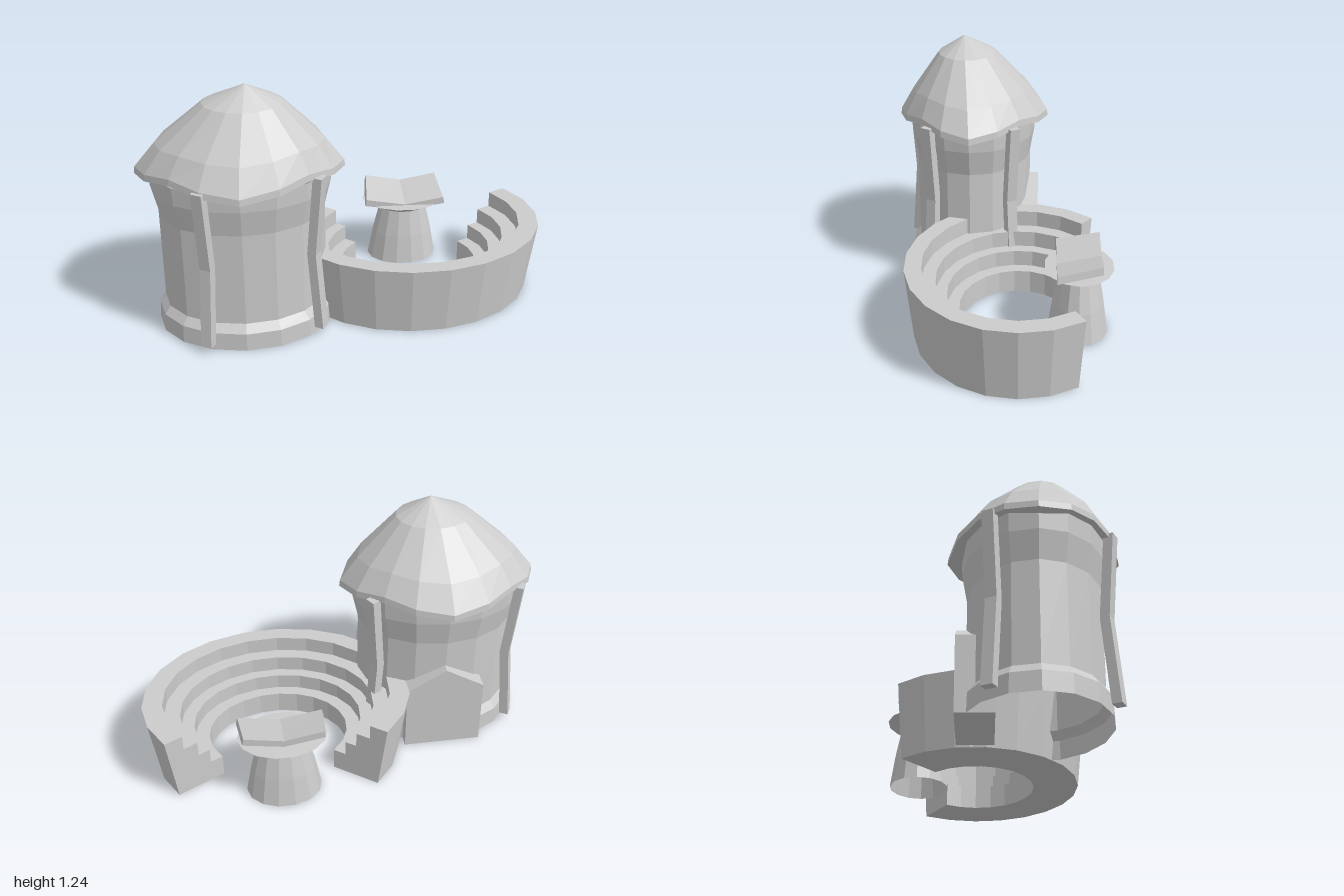
import * as THREE from 'three';

const stone = new THREE.MeshStandardMaterial({ color: 0xcccccc, side: THREE.DoubleSide });
stone.name = 'stoneGrey';

function addMesh(parent, name, geometry) {
  const g = geometry.index ? geometry.toNonIndexed() : geometry;
  g.computeVertexNormals(); // unshared corners give flat facets
  const m = new THREE.Mesh(g, stone);
  m.name = name;
  parent.add(m);
  return m;
}

// Elliptical sweep. Each ring: { y, rx, rz, x, z, w }, where w is the
// strength of the four-fold ripple that lifts and pulls in the diagonals.
function sweep(rings, segments, start = 0, end = Math.PI * 2, caps = false) {
  const pos = [];
  const idx = [];
  const n = segments + 1;
  for (const { y, rx, rz, x, z, w = 0 } of rings) {
    for (let j = 0; j < n; j++) {
      const a = start + ((end - start) * j) / segments;
      const k = w * (1 - Math.cos(4 * a));
      const s = 1 - 0.05 * k;
      pos.push(x + rx * s * Math.cos(a), y + 0.022 * k, z + rz * s * Math.sin(a));
    }
  }
  for (let i = 0; i < rings.length - 1; i++) {
    for (let j = 0; j < segments; j++) {
      const a = i * n + j;
      const b = a + n;
      idx.push(a + 1, a, b, a + 1, b, b + 1);
    }
  }
  if (caps) {
    const outline = rings.slice(0, -1).map((r) => new THREE.Vector2(r.rx, r.y));
    for (const [p, q, r] of THREE.ShapeUtils.triangulateShape(outline, [])) {
      idx.push(p * n, q * n, r * n);
      idx.push(p * n + segments, r * n + segments, q * n + segments);
    }
  }
  const g = new THREE.BufferGeometry();
  g.setAttribute('position', new THREE.Float32BufferAttribute(pos, 3));
  g.setIndex(idx);
  return g;
}

function makeTower() {
  const tower = new THREE.Group();
  tower.name = 'tower';
  const x = -0.51;
  const z = 0.16;

  // Wall with a spreading foot and a flared top
  const wall = [
    [0, 0.43, 0.335], [0.09, 0.425, 0.333], [0.13, 0.395, 0.302],
    [0.6, 0.395, 0.302], [0.73, 0.425, 0.325], [0.82, 0.43, 0.328],
  ].map(([y, rx, rz]) => ({ y, rx, rz, x, z }));
  addMesh(tower, 'towerWall', sweep(wall, 16));

  // Wavy roof with its peak set off centre
  const roof = [
    { y: 0.8, rx: 0.42, rz: 0.32, x, z, w: 1 },
    { y: 0.793, rx: 0.492, rz: 0.39, x, z: 0.157, w: 1 },
    { y: 0.825, rx: 0.488, rz: 0.387, x, z: 0.157, w: 1 },
    { y: 0.945, rx: 0.395, rz: 0.308, x: -0.505, z: 0.167, w: 0.5 },
    { y: 1.145, rx: 0.186, rz: 0.149, x: -0.485, z: 0.188 },
    { y: 1.235, rx: 0, rz: 0, x: -0.47, z: 0.203 },
  ];
  addMesh(tower, 'towerRoof', sweep(roof, 16));

  // Bowed posts that follow the waist of the wall
  for (const [dx, dz] of [[-0.37, -0.205], [-0.18, 0.33], [0.36, 0.21], [0.36, -0.22]]) {
    const g = new THREE.BoxGeometry(0.045, 0.8, 0.055, 1, 2, 1);
    const p = g.attributes.position;
    for (let i = 0; i < p.count; i++) {
      if (Math.abs(p.getY(i)) < 0.1) p.setX(i, p.getX(i) - 0.035);
    }
    const post = addMesh(tower, 'towerPost', g);
    post.position.set(x + dx, 0.44, z + dz);
    post.rotation.y = -Math.atan2(dz, dx);
  }

  // Gabled door block at the back
  const gable = new THREE.Shape([
    new THREE.Vector2(-0.195, 0), new THREE.Vector2(0.195, 0),
    new THREE.Vector2(0.195, 0.35), new THREE.Vector2(0, 0.465), new THREE.Vector2(-0.195, 0.35),
  ]);
  const door = addMesh(tower, 'doorBlock',
    new THREE.ExtrudeGeometry(gable, { depth: 0.17, bevelEnabled: false }));
  door.position.set(-0.505, 0, -0.187);
  return tower;
}

// Stepped seating around an open-ended oval
function makeArena() {
  const profile = [
    [0.618, 0], [0.665, 0.355], [0.565, 0.355], [0.565, 0.275], [0.485, 0.275],
    [0.485, 0.195], [0.42, 0.195], [0.42, 0.115], [0.35, 0.115], [0.35, 0], [0.618, 0],
  ].map(([r, y]) => ({ y, rx: r, rz: r * 0.815, x: 0.335, z: -0.1 }));
  const rad = THREE.MathUtils.degToRad;
  const arena = new THREE.Group();
  arena.name = 'arena';
  addMesh(arena, 'seatingSteps', sweep(profile, 16, rad(-33), rad(222.5), true));
  return arena;
}

function makeLectern() {
  const lectern = new THREE.Group();
  lectern.name = 'lectern';
  const x = 0.338;
  const z = -0.385;
  const stand = [
    [0, 0.185, 0.145], [0.15, 0.158, 0.124], [0.29, 0.125, 0.098],
    [0.3, 0.14, 0.108], [0.335, 0.217, 0.166], [0.337, 0, 0],
  ].map(([y, rx, rz]) => ({ y, rx, rz, x, z }));
  addMesh(lectern, 'lecternStand', sweep(stand, 14));

  // Open book: two boxes sheared into a sloping V
  for (const side of [-1, 1]) {
    const g = new THREE.BoxGeometry(1, 1, 1);
    const p = g.attributes.position;
    for (let i = 0; i < p.count; i++) {
      const out = p.getX(i) * side + 0.5; // 0 at the spine, 1 at the outer edge
      const back = 0.5 - p.getZ(i);
      const low = 0.5 - p.getY(i);
      p.setXYZ(i,
        x + side * out * (0.205 - 0.017 * back + 0.008 * low),
        0.34 + 0.045 * back + 0.035 * out - 0.035 * low,
        -0.278 - 0.21 * back);
    }
    addMesh(lectern, 'bookHalf', g);
  }
  return lectern;
}

export function createModel() {
  const model = new THREE.Group();
  model.name = 'towerAndArena';
  model.add(makeTower(), makeArena(), makeLectern());
  return model;
}
